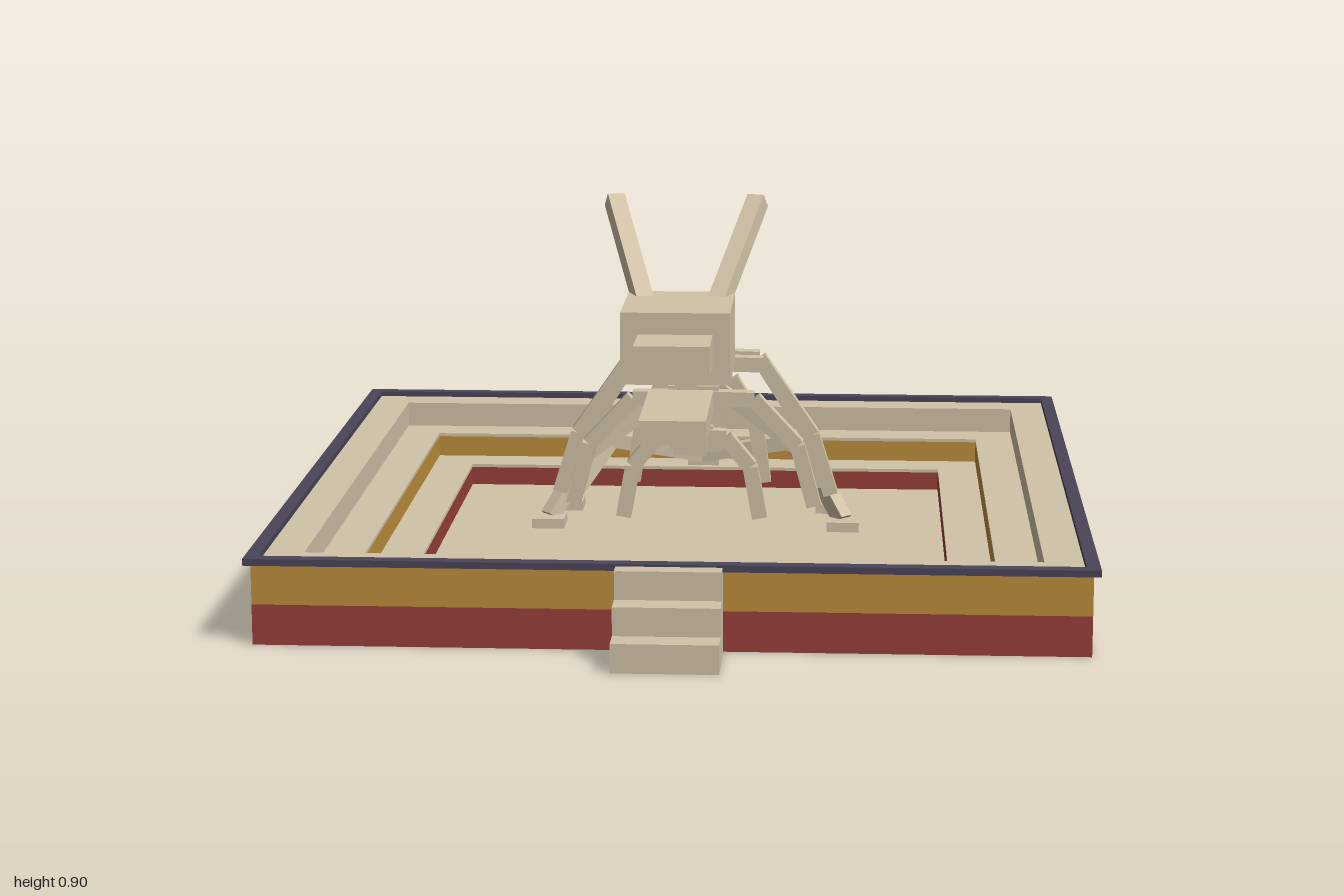
import * as THREE from 'three';

const stone = new THREE.MeshStandardMaterial({ color: 0xd0c3a8 });
stone.name = 'sandstone';
const gold = new THREE.MeshStandardMaterial({ color: 0xbd8f3c });
gold.name = 'ochre';
const red = new THREE.MeshStandardMaterial({ color: 0x983f3a });
red.name = 'brick red';
const dark = new THREE.MeshStandardMaterial({ color: 0x4b4458 });
dark.name = 'dark slate';

const PIT_Z = -0.08; // centre of the square pit

export function createModel() {
  const model = new THREE.Group();

  function add(parent, name, geometry, material) {
    const mesh = new THREE.Mesh(geometry, material);
    mesh.name = name;
    parent.add(mesh);
    return mesh;
  }

  // Box given by its ranges on each axis
  function box(parent, name, x0, x1, y0, y1, z0, z1, material = stone) {
    const mesh = add(parent, name, new THREE.BoxGeometry(x1 - x0, y1 - y0, z1 - z0), material);
    mesh.position.set((x0 + x1) / 2, (y0 + y1) / 2, (z0 + z1) / 2);
    return mesh;
  }

  // Square ring lying flat, given by its half sizes
  function frame(parent, name, outer, inner, y0, y1, material) {
    const square = (r) => [[-r, -r], [r, -r], [r, r], [-r, r]].map((p) => new THREE.Vector2(...p));
    const shape = new THREE.Shape(square(outer));
    shape.holes.push(new THREE.Path(square(inner)));
    const geometry = new THREE.ExtrudeGeometry(shape, { depth: y1 - y0, bevelEnabled: false });
    geometry.rotateX(-Math.PI / 2);
    add(parent, name, geometry, material).position.set(0, y0, PIT_Z);
  }

  // Square beam between two points
  function beam(parent, name, a, b, thick) {
    const start = new THREE.Vector3(...a);
    const end = new THREE.Vector3(...b);
    const mesh = add(parent, name, new THREE.BoxGeometry(thick, thick, start.distanceTo(end)), stone);
    mesh.position.copy(start).lerp(end, 0.5);
    mesh.lookAt(end);
  }

  // Chain of beams on both sides of the body
  function mirroredChain(parent, name, points, thick) {
    for (const side of [1, -1]) {
      const pts = points.map(([x, y, z]) => [side * x, y, z]);
      for (let i = 0; i + 1 < pts.length; i++) beam(parent, name, pts[i], pts[i + 1], thick);
    }
  }

  // Pit: banded outer walls, rim and terraces stepping down to the floor
  const pit = new THREE.Group();
  pit.name = 'pit';
  model.add(pit);
  frame(pit, 'lowerWall', 0.905, 0.895, 0, 0.09, red);
  frame(pit, 'upperWall', 0.905, 0.895, 0.09, 0.18, gold);
  frame(pit, 'rim', 0.92, 0.89, 0.18, 0.195, dark);
  frame(pit, 'topLedge', 0.895, 0.805, 0.174, 0.182, stone);
  frame(pit, 'topRiser', 0.813, 0.805, 0.112, 0.174, stone);
  frame(pit, 'middleLedge', 0.805, 0.71, 0.112, 0.12, stone);
  frame(pit, 'middleRiser', 0.718, 0.71, 0.052, 0.112, gold);
  frame(pit, 'lowerLedge', 0.71, 0.61, 0.052, 0.06, stone);
  frame(pit, 'lowerRiser', 0.618, 0.61, 0, 0.052, red);
  box(pit, 'floor', -0.61, 0.61, 0, 0.006, PIT_Z - 0.61, PIT_Z + 0.61);

  // Steps outside the front wall and the block inside it
  const stairs = new THREE.Group();
  stairs.name = 'stairs';
  model.add(stairs);
  box(stairs, 'bottomStep', -0.115, 0.115, 0, 0.064, 0.94, 1);
  box(stairs, 'middleStep', -0.115, 0.115, 0, 0.127, 0.88, 0.94);
  box(stairs, 'topStep', -0.115, 0.115, 0, 0.19, 0.78, 0.88);
  box(stairs, 'innerStep', -0.115, 0.115, 0.06, 0.121, 0.53, 0.725);

  // Skull with snout, jaw and swept-back horns
  const head = new THREE.Group();
  head.name = 'head';
  model.add(head);
  box(head, 'skull', -0.12, 0.12, 0.54, 0.7, 0.33, 0.61);
  box(head, 'snout', -0.082, 0.082, 0.58, 0.652, 0.61, 0.75);
  box(head, 'jaw', -0.073, 0.073, 0.43, 0.483, 0.38, 0.72);
  mirroredChain(head, 'horn', [[0.083, 0.68, 0.385], [0.165, 0.887, 0.168]], 0.04);

  // Vertebrae from neck to tail: z, centre y, half width, height
  const spine = new THREE.Group();
  spine.name = 'spine';
  model.add(spine);
  const vertebrae = [
    [0.33, 0.59, 0.025, 0.03], [0.253, 0.545, 0.025, 0.03], [0.17, 0.455, 0.025, 0.03],
    [0.088, 0.345, 0.027, 0.032], [0.006, 0.27, 0.04, 0.042], [-0.073, 0.275, 0.052, 0.058],
    [-0.156, 0.35, 0.062, 0.07], [-0.237, 0.432, 0.066, 0.075], [-0.318, 0.434, 0.066, 0.075],
    [-0.4, 0.357, 0.066, 0.075], [-0.48, 0.243, 0.062, 0.073], [-0.565, 0.16, 0.052, 0.06],
    [-0.645, 0.1, 0.04, 0.045], [-0.725, 0.1, 0.025, 0.03],
  ];
  for (const [z, y, w, h] of vertebrae) {
    box(spine, 'vertebra', -w, w, y - h / 2, y + h / 2, z - 0.0125, z + 0.0125);
  }

  // Rib arches: z, top y, half width, elbow y, end y
  const ribs = new THREE.Group();
  ribs.name = 'ribcage';
  model.add(ribs);
  const arches = [
    [-0.068, 0.28, 0.165, 0.205, 0.08], [-0.153, 0.357, 0.295, 0.24, 0.09],
    [-0.237, 0.427, 0.335, 0.25, 0.1], [-0.318, 0.427, 0.31, 0.25, 0.1],
    [-0.405, 0.357, 0.165, 0.25, 0.09],
  ];
  for (const [z, top, w, elbow, end] of arches) {
    mirroredChain(ribs, 'rib', [
      [0.03, top, z], [w * 0.5, top - 0.003, z], [w * 0.86, elbow, z], [w, end, z],
    ], 0.036);
  }

  // Legs with flat feet
  const legs = new THREE.Group();
  legs.name = 'legs';
  model.add(legs);
  const legPaths = {
    frontLeg: [[0, 0.37, -0.4], [0.275, 0.17, -0.36], [0.365, 0.025, -0.275]],
    hindLeg: [[0, 0.115, -0.6], [0.235, 0.16, -0.56], [0.335, 0.025, -0.465]],
  };
  for (const [name, path] of Object.entries(legPaths)) {
    mirroredChain(legs, name, path, 0.036);
    const [x, , z] = path[2];
    for (const side of [1, -1]) {
      const cx = side * x;
      box(legs, name + 'Foot', cx - 0.04, cx + 0.04, 0.006, 0.03, z - 0.03, z + 0.055);
    }
  }

  return model;
}
